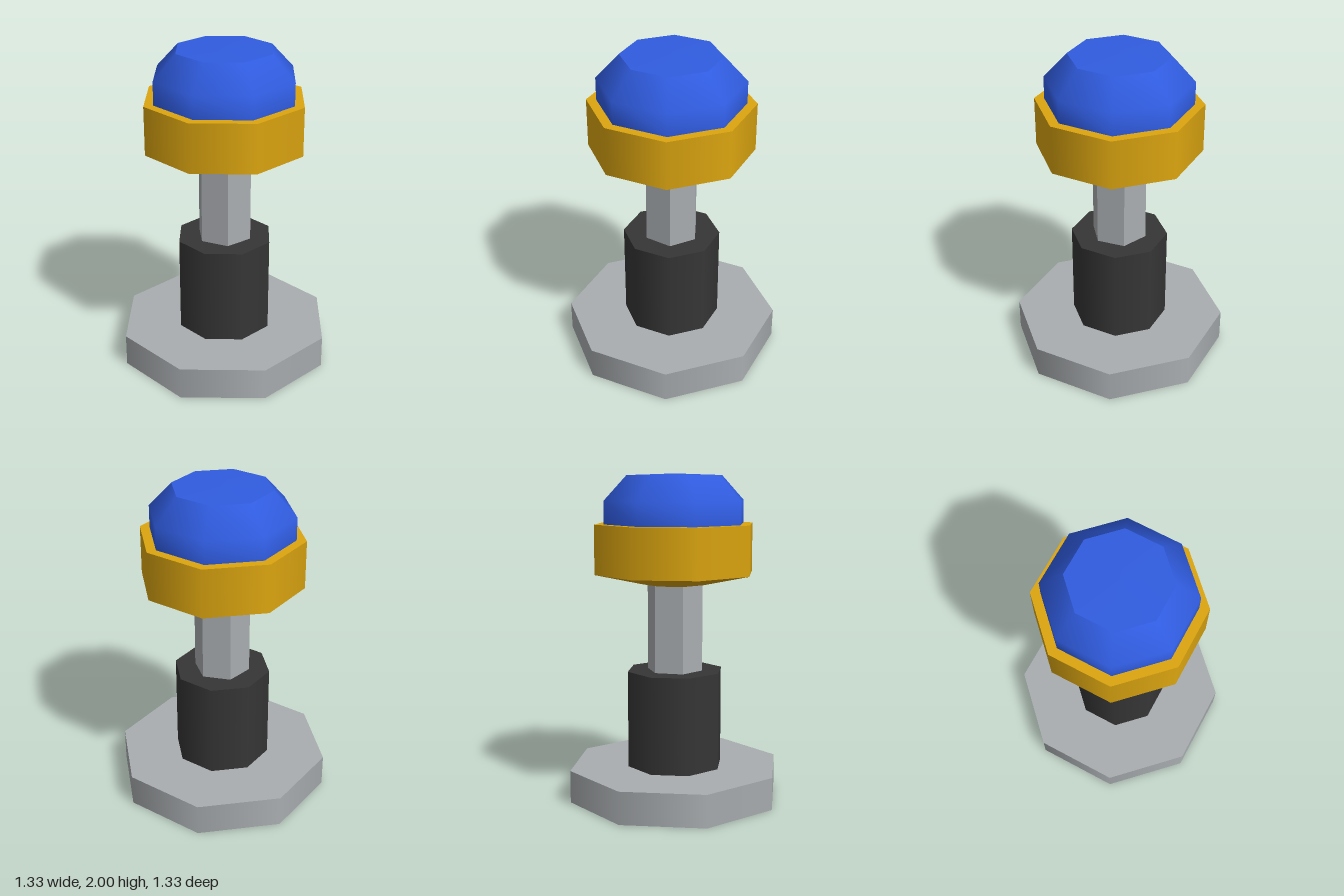
import * as THREE from 'three';
import { mergeGeometries } from 'three/addons/utils/BufferGeometryUtils.js';

const paint = (name, color) =>
  new THREE.MeshStandardMaterial({ name, color, side: THREE.DoubleSide });

// Eight-sided turned part; each band is a profile with smooth normals, with creases between bands.
function turned(name, material, ...bands) {
  const parts = bands.map((band) =>
    new THREE.LatheGeometry(band.map(([r, y]) => new THREE.Vector2(r, y)), 8));
  const mesh = new THREE.Mesh(mergeGeometries(parts), material);
  mesh.name = name;
  return mesh;
}

export function createModel() {
  const steel = paint('steel grey', 0xa9adb0);
  const rubber = paint('dark rubber', 0x363636);
  const yellow = paint('amber yellow', 0xdba510);
  const blue = paint('button blue', 0x305ce0);

  const model = new THREE.Group();
  model.name = 'pushButton';

  // Base plate, hollow underneath
  model.add(turned('basePlate', steel,
    [[0.667, 0], [0.667, 0.2]],
    [[0.667, 0.2], [0, 0.2]]));

  // Sleeve around the foot of the shaft
  model.add(turned('sleeve', rubber,
    [[0.3, 0.2], [0.3, 0.8]],
    [[0.3, 0.8], [0, 0.8]]));

  // Hexagonal shaft with corners on the x axis
  const hexagon = new THREE.CylinderGeometry(0.173, 0.173, 0.9, 6, 1, true, Math.PI / 2);
  const shaft = new THREE.Mesh(hexagon.toNonIndexed(), steel);
  shaft.geometry.computeVertexNormals();
  shaft.position.y = 1.25;
  shaft.name = 'shaft';
  model.add(shaft);

  // Collar with a sloping underside, open around the shaft
  model.add(turned('collar', yellow,
    [[0.2, 1.335], [0.5, 1.4]],
    [[0.5, 1.4], [0.5, 1.7]],
    [[0.5, 1.7], [0, 1.7]]));

  // Domed button
  model.add(turned('button', blue,
    [[0.44, 1.7], [0.44, 1.84], [0.3, 1.99]],
    [[0.3, 1.99], [0, 2]]));

  return model;
}
